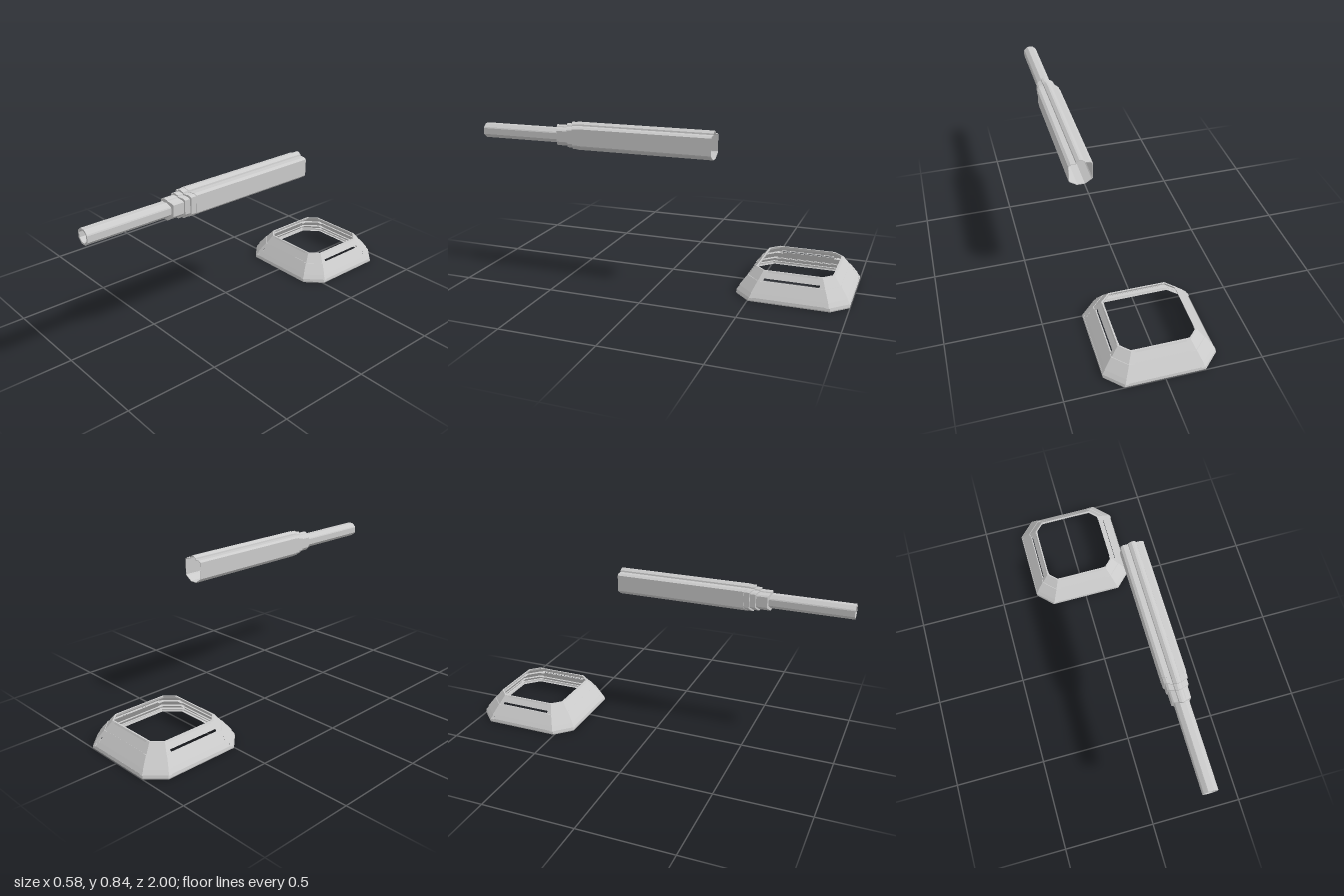
import * as THREE from 'three';

const material = new THREE.MeshStandardMaterial({
  color: 0xcccccc, flatShading: true, side: THREE.DoubleSide,
});

// Skin a list of equally long rows of [x, y, z] points.
function loft(name, rows, closed = false) {
  const position = [];
  const n = rows[0].length;
  for (let i = 0; i < rows.length - 1; i++) {
    for (let j = 0; j < (closed ? n : n - 1); j++) {
      const k = (j + 1) % n;
      const a = rows[i][j], b = rows[i][k], c = rows[i + 1][k], d = rows[i + 1][j];
      position.push(...a, ...b, ...c, ...a, ...c, ...d);
    }
  }
  const geometry = new THREE.BufferGeometry();
  geometry.setAttribute('position', new THREE.Float32BufferAttribute(position, 3));
  geometry.computeVertexNormals();
  const mesh = new THREE.Mesh(geometry, material);
  mesh.name = name;
  return mesh;
}

// Half outlines of the wide and the narrow tube, from top to bottom.
const wide = [[0.005, 0.076], [0.02, 0.066], [0.022, 0.058], [0.048, 0.057],
  [0.061, 0.048], [0.061, -0.04], [0.056, -0.046], [0.02, -0.069]];
const narrow = [[0.005, 0.037], [0.014, 0.037], [0.018, 0.034], [0.034, 0.02],
  [0.037, 0.014], [0.037, -0.018], [0.033, -0.022], [0.014, -0.039]];

// One tube outline: t blends narrow to wide, sweep pulls the sides back.
function tubeRow(z, t, scale = 1, sweep = 0) {
  const half = narrow.map(([x, y], i) => [
    scale * THREE.MathUtils.lerp(x, wide[i][0], t),
    scale * THREE.MathUtils.lerp(y, wide[i][1], t),
  ]);
  const outline = [...half, ...half.map(([x, y]) => [-x, y]).reverse()];
  return outline.map(([x, y]) => [x, y, z - sweep * Math.abs(x) / 0.061]);
}

function createBarrel() {
  const barrel = new THREE.Group();
  barrel.name = 'barrel';
  barrel.position.set(0.229, 0.769, 0);
  const sweep = 0.025;
  barrel.add(
    loft('sleeve', [tubeRow(0.45, 0.94, 1, sweep), tubeRow(0.45, 1, 1, sweep),
      tubeRow(-0.3, 1), tubeRow(-0.3, 1, 0.95), tubeRow(0.4, 1, 0.95)], true),
    loft('steppedCollar', [tubeRow(0.57, 0, 1, sweep), tubeRow(0.57, 0.45, 1, sweep),
      tubeRow(0.51, 0.45, 1, sweep), tubeRow(0.51, 0.7, 1, sweep),
      tubeRow(0.48, 0.7, 1, sweep), tubeRow(0.48, 0.94, 1, sweep),
      tubeRow(0.45, 0.94, 1, sweep)], true),
    loft('muzzleTube', [tubeRow(0.53, 0), tubeRow(1, 0),
      tubeRow(1, 0, 0.77), tubeRow(0.53, 0, 0.77)], true),
  );
  return barrel;
}

// Three tiers of the frame: bottom and top height, radius and panel half width.
const tiers = [
  { y0: 0.018, y1: 0.048, r0: 0.285, r1: 0.264, w: 0.185, c0: 0.2, c1: 0.19 },
  { y0: 0.042, y1: 0.094, r0: 0.272, r1: 0.234, w: 0.165, c0: 0.193, c1: 0.17 },
  { y0: 0.088, y1: 0.138, r0: 0.238, r1: 0.2, w: 0.143, c0: 0.172, c1: 0.15 },
];

// A straight side of overlapping plates, with a slit under the top plate.
function createSide(slit) {
  const side = new THREE.Group();
  const row = (w, y, r) => [[-w, y, r], [w, y, r]];
  tiers.forEach(({ y0, y1, r0, r1, w }, i) => {
    const gap = i === 2 ? slit : 0;
    const rb = r0 - gap * 0.75;
    const rows = [row(w, y0 + gap, rb - 0.01), row(w, y0 + gap, rb), row(w, y1, r1)];
    if (i < 2) rows.push(row(w, y1, r1 - 0.006));
    side.add(loft('sidePlate', rows));
  });
  return side;
}

// A chamfered corner of stepped plates that stand slightly proud.
function createCorner() {
  const corner = new THREE.Group();
  const row = (w, c, y, r) => [[w, y, r], [c, y, r], [r, y, c], [r, y, w]];
  tiers.forEach(({ y0, y1, r0, r1, w, c0, c1 }, i) => {
    const out = i === 2 ? 0.002 : 0.005;
    const middle = (y0 + y1) / 2;
    const rm = (r0 + r1) / 2;
    const cm = (c0 + c1) / 2;
    // The upper half of every plate reaches further in, making a notched seam.
    corner.add(loft('cornerPlate', [
      row(w - 0.002, c0, y0, r0 - 0.014), row(w - 0.002, c0, y0, r0 + out),
      row(w - 0.002, cm, middle, rm + out)]));
    corner.add(loft('cornerPlate', [
      row(w - 0.014, cm, middle, rm + out), row(w - 0.014, c1, y1, r1 + out),
      row(w - 0.014, c1, y1, r1 - 0.01)]));
  });
  return corner;
}

function createFrame() {
  const frame = new THREE.Group();
  frame.name = 'baseFrame';
  frame.position.set(0, 0, -0.71);
  for (let i = 0; i < 4; i++) {
    const side = createSide(i % 2 ? 0.018 : 0.006);
    const corner = createCorner();
    side.name = 'frameSide';
    corner.name = 'frameCorner';
    side.rotation.y = corner.rotation.y = i * Math.PI / 2;
    frame.add(side, corner);
  }
  // Chamfered square bands at the foot and the top rim.
  const octagon = (y, r, c) => [[c, y, r], [r, y, c], [r, y, -c], [c, y, -r],
    [-c, y, -r], [-r, y, -c], [-r, y, c], [-c, y, r]];
  frame.add(
    loft('footBand', [octagon(0.004, 0.27, 0.195), octagon(0, 0.288, 0.205),
      octagon(0.006, 0.29, 0.205), octagon(0.02, 0.287, 0.203)], true),
    loft('topRim', [octagon(0.128, 0.207, 0.154), octagon(0.14, 0.2, 0.15),
      octagon(0.14, 0.192, 0.147), octagon(0.128, 0.195, 0.149)], true),
  );
  return frame;
}

export function createModel() {
  const model = new THREE.Group();
  model.name = 'model';
  model.add(createFrame(), createBarrel());
  return model;
}
